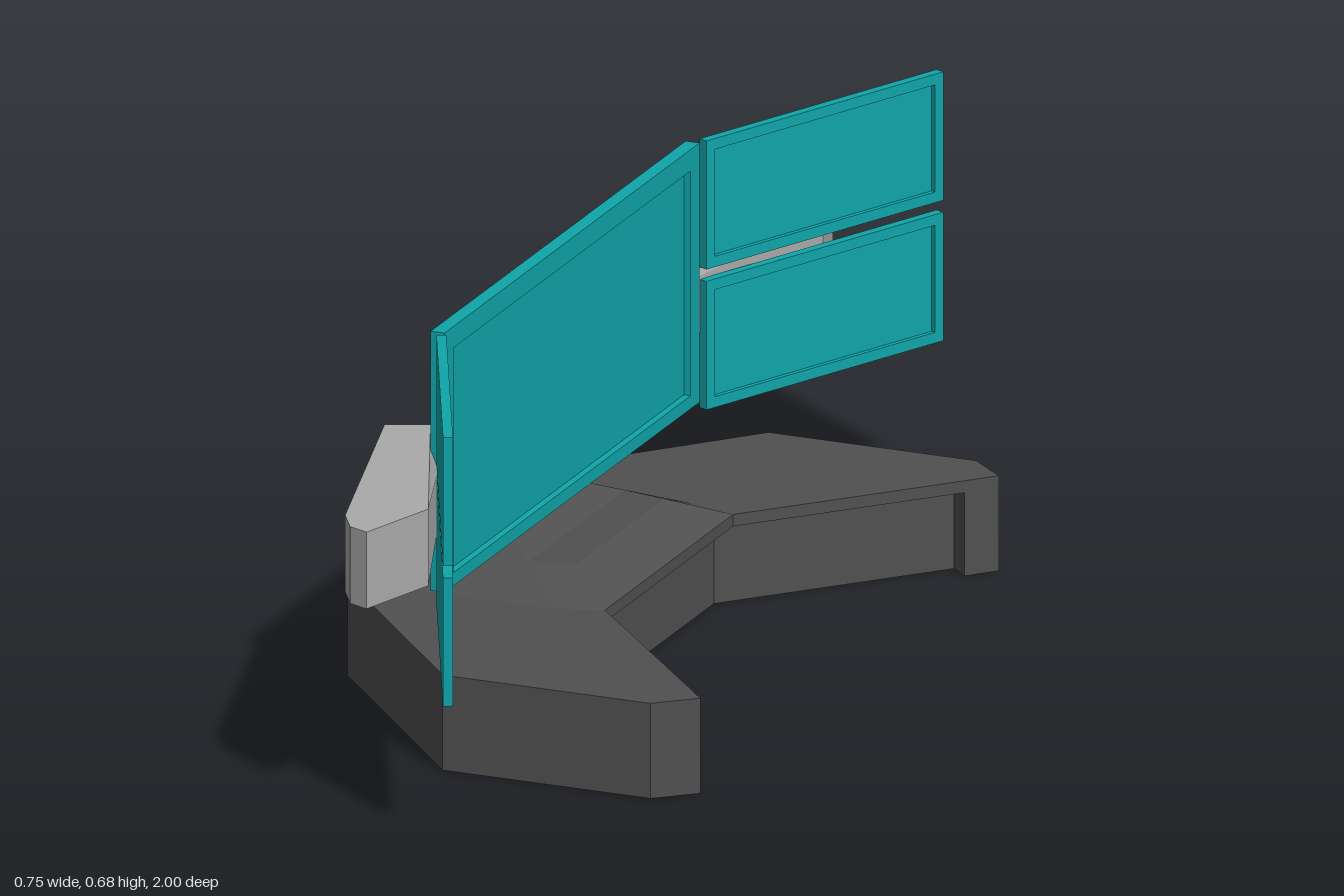
import * as THREE from 'three';

const mat = (color, side = THREE.FrontSide) =>
  new THREE.MeshStandardMaterial({ color, side, flatShading: true });
const teal = mat(0x0fa5aa);
const dark = mat(0x505050, THREE.DoubleSide);
const grey = mat(0xaaaaaa, THREE.DoubleSide);

function addMesh(parent, name, geometry, material) {
  const mesh = new THREE.Mesh(geometry, material);
  mesh.name = name;
  parent.add(mesh);
  return mesh;
}

// Polygons given by point names, fanned and mirrored across z = 0
function mirroredFaces(points, faces) {
  const pos = [];
  for (const s of [1, -1]) {
    for (const face of faces) {
      const p = face.split(' ').map((k) => points[k]);
      for (let i = 1; i < p.length - 1; i++) {
        const tri = s > 0 ? [p[0], p[i], p[i + 1]] : [p[0], p[i + 1], p[i]];
        for (const [x, y, z] of tri) pos.push(x, y, z * s);
      }
    }
  }
  const g = new THREE.BufferGeometry();
  g.setAttribute('position', new THREE.Float32BufferAttribute(pos, 3));
  g.computeVertexNormals();
  return g;
}

function rectPath(path, x0, y0, x1, y1) {
  path.moveTo(x0, y0);
  path.lineTo(x1, y0);
  path.lineTo(x1, y1);
  path.lineTo(x0, y1);
  path.closePath();
  return path;
}

// Screen with a raised bezel, facing local +z, back at z = 0
function screen(name, w, h, depth, border, bottom) {
  const group = new THREE.Group();
  group.name = name;
  const inner = [-w / 2 + border, -h / 2 + bottom, w / 2 - border, h / 2 - border];
  const frame = rectPath(new THREE.Shape(), -w / 2, -h / 2, w / 2, h / 2);
  frame.holes.push(rectPath(new THREE.Path(), ...inner));
  addMesh(group, 'bezel', new THREE.ExtrudeGeometry(frame, { depth, bevelEnabled: false }), teal);
  const display = rectPath(new THREE.Shape(), ...inner);
  addMesh(group, 'displayPanel',
    new THREE.ExtrudeGeometry(display, { depth: depth * 0.5, bevelEnabled: false }), teal);
  return group;
}

function buildBase() {
  const p = {
    // leg and rear corners of the top
    legOut: [0.31, 0.16, 0.66], legTip: [0.373, 0.16, 0.605], lipEnd: [0.333, 0.16, 0.56],
    inner: [0.06, 0.16, 0.26], innerMid: [0.06, 0.16, 0],
    side: [-0.05, 0.16, 0.66], rear: [-0.375, 0.16, 0.285], foot: [-0.02, 0.16, 0.285],
    // raised hump
    wing: [-0.27, 0.27, 0.04], brow: [-0.17, 0.27, 0.04],
    peak: [-0.19, 0.31, 0.035], browTop: [-0.17, 0.29, 0.035],
    shoulder: [-0.17, 0.23, 0.13], deck: [-0.1, 0.2, 0.196], deckFront: [-0.025, 0.2, 0.18],
    peakMid: [-0.19, 0.31, 0], browMid: [-0.17, 0.29, 0], shoulderMid: [-0.17, 0.23, 0],
    deckMid: [-0.1, 0.2, 0], deckFrontMid: [-0.025, 0.2, 0],
    slotLow: [-0.19, 0.23, 0.035], slotLowMid: [-0.19, 0.23, 0],
    // lip and recessed inner wall
    lipEndB: [0.333, 0.14, 0.56], innerB: [0.06, 0.14, 0.26], innerMidB: [0.06, 0.14, 0],
    recEnd: [0.303, 0.14, 0.587], rec: [0.02, 0.14, 0.275], recMid: [0.02, 0.14, 0],
  };
  // matching floor corners
  for (const k of ['legOut', 'legTip', 'lipEnd', 'side', 'rear', 'recEnd', 'rec', 'recMid']) {
    p[k + '0'] = [p[k][0], 0, p[k][2]];
  }
  return mirroredFaces(p, [
    'side legOut legTip lipEnd inner foot rear',
    'rear foot deck shoulder brow wing',
    'foot inner deckFront deck',
    'inner innerMid deckFrontMid deckFront',
    'deck deckFront deckFrontMid deckMid',
    'shoulder deck deckMid shoulderMid',
    'brow shoulder shoulderMid browMid browTop',
    'wing brow browTop peak',
    'peak browTop browMid peakMid',
    'peak peakMid slotLowMid slotLow',
    'wing peak slotLow',
    'rear rear0 side0 side',
    'side side0 legOut0 legOut',
    'legOut legOut0 legTip0 legTip',
    'legTip legTip0 lipEnd0 lipEnd',
    'lipEnd lipEndB innerB inner',
    'inner innerB innerMidB innerMid',
    'lipEndB recEnd rec innerB',
    'innerB rec recMid innerMidB',
    'lipEndB lipEnd0 recEnd0 recEnd',
    'recEnd recEnd0 rec0 rec',
    'rec rec0 recMid0 recMid',
  ]);
}

function buildArm() {
  const top = 0.487;
  const p = {
    rear: [-0.245, top, 0.44], rearEnd: [-0.125, top, 0.88],
    tipRear: [-0.095, top, 0.93], tip: [-0.06, top, 0.945], tipFront: [-0.015, top, 0.8],
    ridge: [-0.06, top, 0.88], front: [-0.125, 0.45, 0.5],
    root: [-0.178, top, 0.41], rootMid: [-0.178, top, 0],
    // rear edge of the sloped middle section
    slope: [-0.245, 0.42, 0.44], slopeMid: [-0.22, 0.42, 0],
  };
  // matching underside corners
  for (const k of ['rear', 'rearEnd', 'tipRear', 'tip', 'tipFront', 'front', 'root', 'rootMid', 'slopeMid']) {
    p[k + 'B'] = [p[k][0], 0.358, p[k][2]];
  }
  return mirroredFaces(p, [
    'rear rearEnd ridge root',
    'rearEnd tipRear tip ridge',
    'ridge tip tipFront',
    'root ridge tipFront front',
    'root rootMid slopeMid slope',
    'rear root slope',
    'slope slopeMid slopeMidB rearB',
    'rear rearB rearEndB rearEnd',
    'rearEnd rearEndB tipRearB tipRear',
    'tipRear tipRearB tipB tip',
    'tip tipB tipFrontB tipFront',
    'tipFront tipFrontB frontB front',
    'front frontB rootB root',
    'root rootB rootMidB rootMid',
    'rearB rootB frontB tipFrontB tipB tipRearB rearEndB',
    'rearB slopeMidB rootMidB rootB',
  ]);
}

function buildBracket() {
  // wedge under the arm narrowing to the stem, stepped at the front
  return mirroredFaces({
    back: [-0.245, 0.358, 0.44], front: [-0.172, 0.358, 0.41],
    lowBack: [-0.222, 0.3, 0.025], lowFront: [-0.213, 0.3, 0.025],
    stepIn: [-0.2, 0.325, 0.03], stepOut: [-0.187, 0.325, 0.03],
    backMid: [-0.22, 0.358, 0], frontMid: [-0.172, 0.358, 0],
    lowBackMid: [-0.222, 0.3, 0], lowFrontMid: [-0.213, 0.3, 0],
    stepInMid: [-0.2, 0.325, 0], stepOutMid: [-0.187, 0.325, 0],
  }, [
    'back lowBack lowFront stepIn stepOut front',
    'back backMid lowBackMid lowBack',
    'front stepOut stepOutMid frontMid',
    'stepOut stepIn stepInMid stepOutMid',
    'stepIn lowFront lowFrontMid stepInMid',
    'lowBack lowBackMid lowFrontMid lowFront',
  ]);
}

export function createModel() {
  const model = new THREE.Group();
  model.name = 'curvedMonitorStand';

  addMesh(model, 'base', buildBase(), dark);
  addMesh(model, 'curvedArm', buildArm(), grey);
  addMesh(model, 'armBracket', buildBracket(), grey);
  const stem = new THREE.BoxGeometry(0.012, 0.06, 0.036);
  stem.translate(-0.215, 0.28, 0);
  addMesh(model, 'stem', stem, dark);

  // wide centre screen
  const centre = screen('centreScreen', 1.034, 0.436, 0.024, 0.036, 0.022);
  centre.rotation.y = Math.PI / 2;
  centre.position.set(-0.132, 0.465, 0);
  model.add(centre);

  // stacked pairs of angled side screens
  for (const s of [1, -1]) {
    for (const [level, y] of [['lower', 0.34], ['upper', 0.576]]) {
      const side = screen(level + (s > 0 ? 'Left' : 'Right') + 'Screen', 0.512, 0.216, 0.016, 0.018, 0.018);
      side.rotation.y = Math.atan2(0.911, -0.412 * s);
      side.position.set(-0.0095, y, 0.767 * s);
      model.add(side);
    }
  }
  return model;
}
